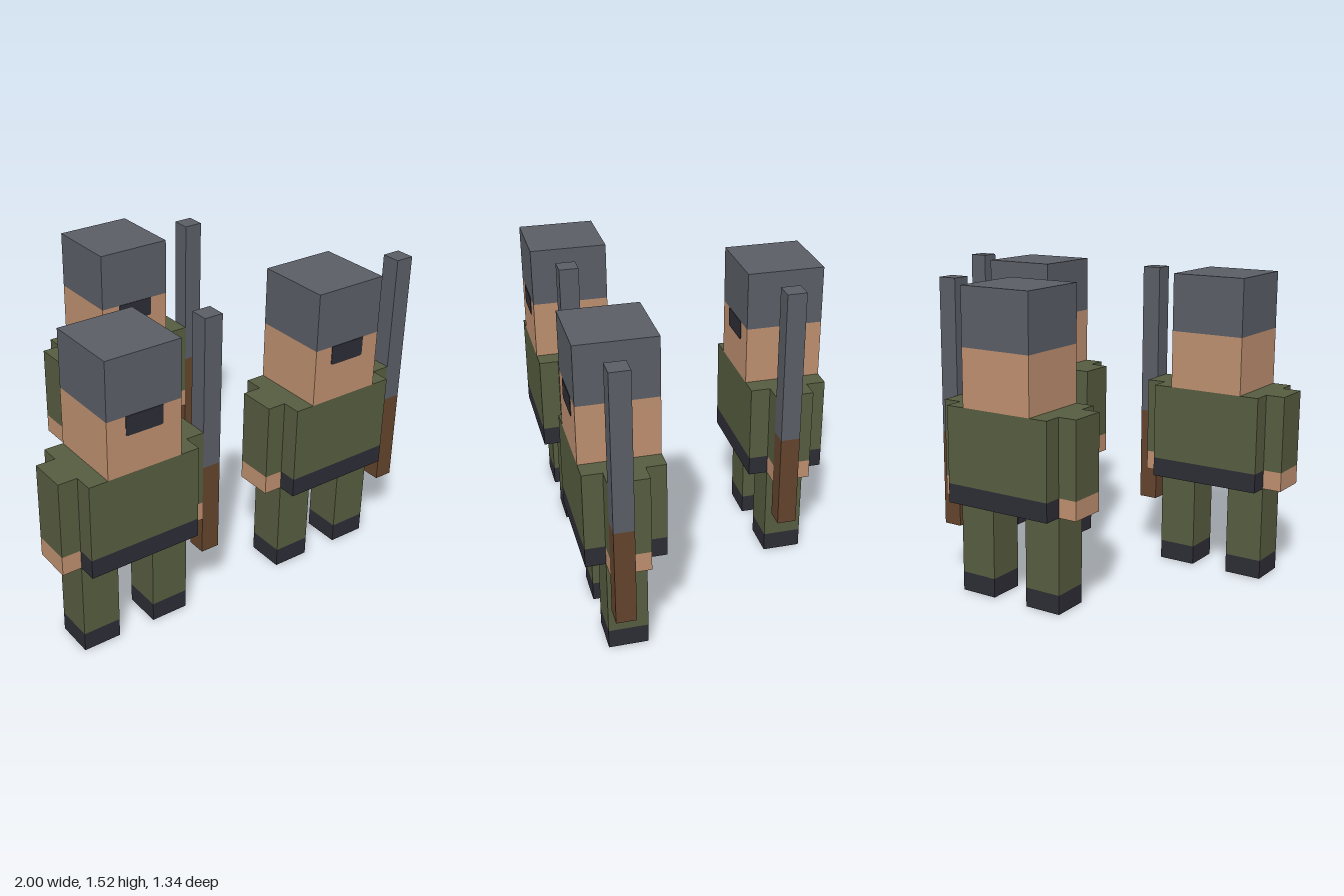
import * as THREE from 'three';

const U = 2 / 21; // one block unit

const material = (name, color) => {
  const m = new THREE.MeshStandardMaterial({ color });
  m.name = name;
  return m;
};

// Block given by its limits in units: [x0, x1], [y0, y1], [z0, z1]
function block(name, mat, [x0, x1], [y0, y1], [z0, z1]) {
  const geo = new THREE.BoxGeometry((x1 - x0) * U, (y1 - y0) * U, (z1 - z0) * U);
  const mesh = new THREE.Mesh(geo, mat);
  mesh.name = name;
  mesh.position.set((x0 + x1) / 2 * U, (y0 + y1) / 2 * U, (z0 + z1) / 2 * U);
  return mesh;
}

// Thin plate on the face with slightly rounded lower corners
function visorPlate(mat) {
  const r = 0.12;
  const shape = new THREE.Shape();
  shape.moveTo(-1, 1);
  shape.lineTo(-1, r);
  shape.quadraticCurveTo(-1, 0, -1 + r, 0);
  shape.lineTo(1 - r, 0);
  shape.quadraticCurveTo(1, 0, 1, r);
  shape.lineTo(1, 1);
  const geo = new THREE.ExtrudeGeometry(shape, { depth: 0.03, bevelEnabled: false, curveSegments: 3 });
  const mesh = new THREE.Mesh(geo, mat);
  mesh.name = 'visor';
  mesh.scale.setScalar(U);
  mesh.position.set(0, 12 * U, 2 * U);
  return mesh;
}

function createSoldier(mats) {
  const { steel, skin, olive, dark, wood } = mats;
  const soldier = new THREE.Group();

  // Head, helmet and torso
  soldier.add(
    block('head', skin, [-2, 2], [10, 13], [-2, 2]),
    block('helmet', steel, [-2, 2], [13, 16], [-2, 2]),
    visorPlate(dark),
    block('torso', olive, [-3, 3], [6, 10], [-2, 2]),
    block('belt', dark, [-3, 3], [5, 6], [-2, 2]),
  );

  // Arms and legs, mirrored
  for (const [side, s] of [['left', 1], ['right', -1]]) {
    const span = (a, b) => (s > 0 ? [a, b] : [-b, -a]);
    soldier.add(
      block(side + 'Sleeve', olive, span(3, 4), [6, 10], [-1, 1]),
      block(side + 'Hand', skin, span(3, 4), [5, 6], [-1, 1]),
      block(side + 'Leg', olive, span(1, 3), [1, 5], [-1, 1]),
      block(side + 'Boot', dark, span(1, 3), [0, 1], [-1, 1]),
    );
  }

  // Rifle held upright at the left hand
  const rifle = new THREE.Group();
  rifle.name = 'rifle';
  rifle.add(
    block('rifleStock', wood, [4, 5], [3, 8], [0, 1]),
    block('rifleBarrel', steel, [4, 5], [8, 16], [0, 1]),
  );
  soldier.add(rifle);
  return soldier;
}

export function createModel() {
  const mats = {
    steel: material('steel grey', 0x5a5d65),
    skin: material('skin', 0xbd8f6f),
    olive: material('olive cloth', 0x565c40),
    dark: material('dark leather', 0x2c2c35),
    wood: material('brown wood', 0x63442c),
  };
  const model = new THREE.Group();
  model.name = 'soldierSquad';

  // Two soldiers in front, one behind
  const places = [['frontRightSoldier', -6.5, 5], ['frontLeftSoldier', 5.5, 5], ['rearSoldier', -0.5, -5]];
  for (const [name, x, z] of places) {
    const soldier = createSoldier(mats);
    soldier.name = name;
    soldier.position.set(x * U, 0, z * U);
    model.add(soldier);
  }
  return model;
}
